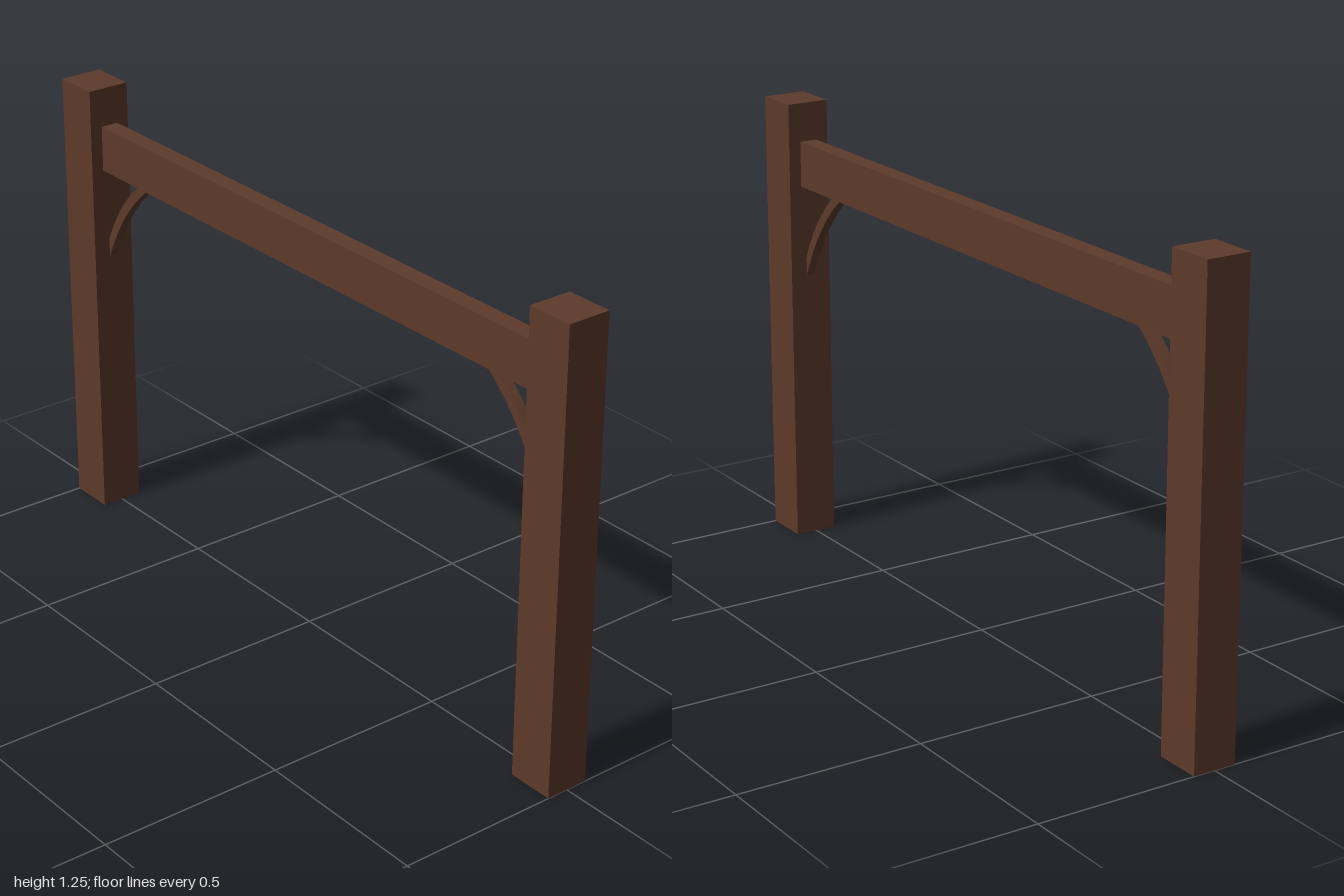
import * as THREE from 'three';

export function createModel() {
  const model = new THREE.Group();
  model.name = 'timberFrame';
  const wood = new THREE.MeshStandardMaterial({ color: 0x5c3a2a });

  function add(parent, name, geometry, x = 0, y = 0, z = 0) {
    const mesh = new THREE.Mesh(geometry, wood);
    mesh.name = name;
    mesh.position.set(x, y, z);
    parent.add(mesh);
    return mesh;
  }

  // Horizontal beam between the posts
  add(model, 'beam', new THREE.BoxGeometry(0.05, 0.126, 1.74), 0, 1.08, 0);

  // Curved brace profile: shape x runs along the beam, shape y is up
  const braceWidth = 0.025;
  const profile = new THREE.Shape();
  profile.moveTo(0.872, 0.757);
  profile.lineTo(0.872, 0.81);
  profile.quadraticCurveTo(0.815, 0.94, 0.715, 1.018);
  profile.lineTo(0.675, 1.018);
  profile.quadraticCurveTo(0.8, 0.925, 0.872, 0.757);
  const braceGeometry = new THREE.ExtrudeGeometry(profile, {
    depth: braceWidth, bevelEnabled: false, curveSegments: 10,
  });
  braceGeometry.translate(0, 0, -braceWidth / 2);
  braceGeometry.rotateY(-Math.PI / 2);

  const postGeometry = new THREE.BoxGeometry(0.12, 1.25, 0.13);

  // Post and brace at each end, the back pair turned half a circle
  for (const end of ['front', 'back']) {
    const side = new THREE.Group();
    side.name = end + 'End';
    add(side, end + 'Post', postGeometry, 0, 0.625, 0.935);
    add(side, end + 'Brace', braceGeometry);
    if (end === 'back') side.rotation.y = Math.PI;
    model.add(side);
  }
  return model;
}
